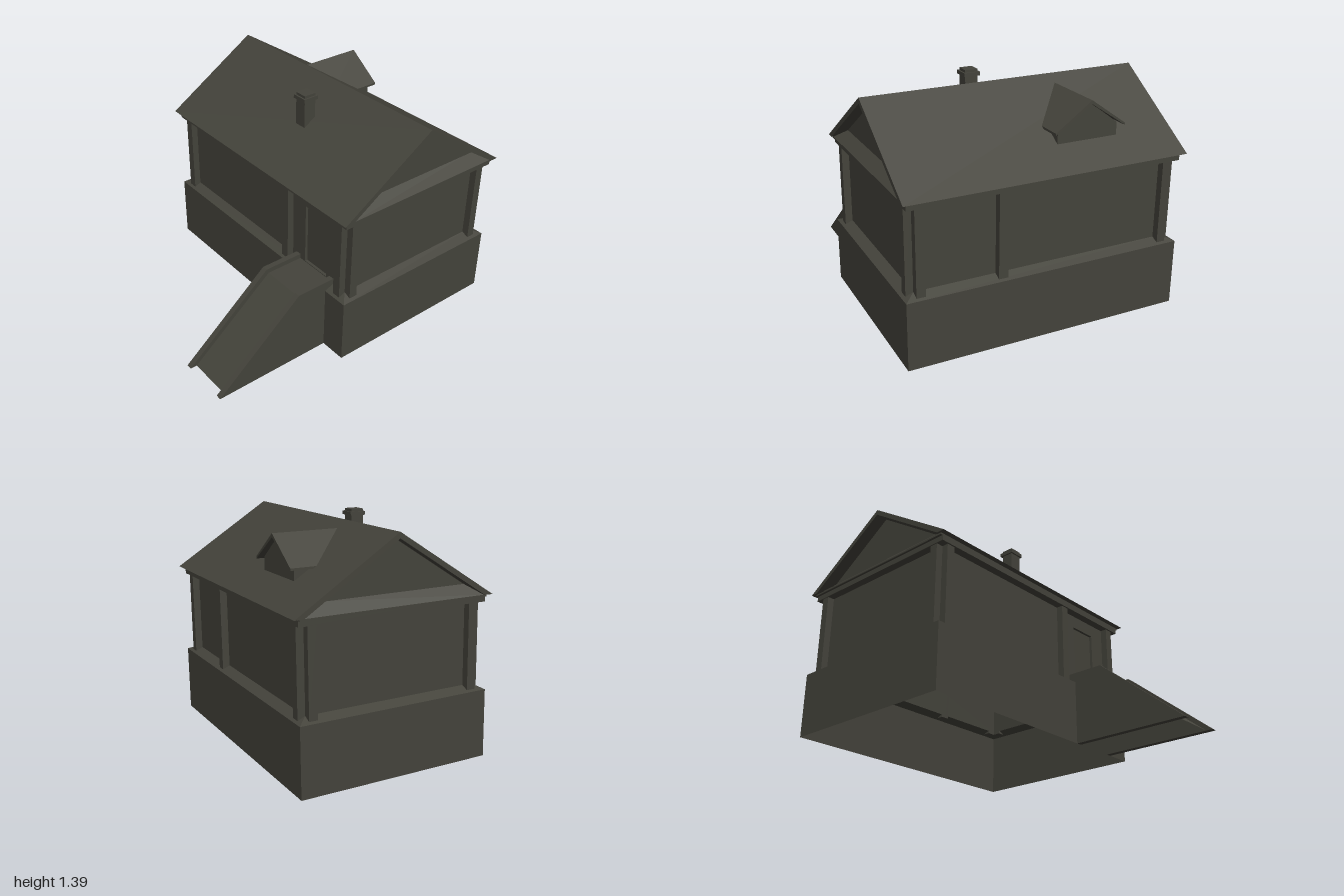
import * as THREE from 'three';

export function createModel() {
  const group = new THREE.Group();
  group.name = 'cabin';
  const mat = new THREE.MeshStandardMaterial({ color: 0x44433b, side: THREE.DoubleSide });
  mat.name = 'darkOlive';

  const add = (name, geometry) => {
    const mesh = new THREE.Mesh(geometry, mat);
    mesh.name = name;
    group.add(mesh);
    return mesh;
  };
  // Box given by its two corners
  const box = (name, x0, x1, y0, y1, z0, z1) =>
    add(name, new THREE.BoxGeometry(x1 - x0, y1 - y0, z1 - z0)
      .translate((x0 + x1) / 2, (y0 + y1) / 2, (z0 + z1) / 2));
  // Flat four-cornered faces merged in one mesh
  const quads = (name, list) => {
    const pos = list.flatMap(([a, b, c, d]) => [a, b, c, a, c, d].flat());
    const g = new THREE.BufferGeometry();
    g.setAttribute('position', new THREE.Float32BufferAttribute(pos, 3));
    g.computeVertexNormals();
    return add(name, g);
  };
  const shapeOf = (pts) => new THREE.Shape(pts.map(([a, b]) => new THREE.Vector2(a, b)));
  // Profile in (x, y) pushed along z
  const alongZ = (name, shape, z0, z1) =>
    add(name, new THREE.ExtrudeGeometry(shape, { depth: z1 - z0, bevelEnabled: false }).translate(0, 0, z0));
  // Profile in (z, y) pushed along x
  const alongX = (name, pts, x0, x1) =>
    add(name, new THREE.ExtrudeGeometry(shapeOf(pts), { depth: x1 - x0, bevelEnabled: false })
      .rotateY(-Math.PI / 2).translate(x1, 0, 0));

  const ZC = -0.3725;                       // ridge line of the house
  const BX = 0.87, BF = 0.225, BB = -0.97;  // foundation
  const WX = 0.805, WF = 0.163, WB = -0.908; // walls
  const RL = 0.352, RR = 0.702;             // ramp sides

  // Corners of a level rectangle, anticlockwise seen from above
  const ring = (x, f, b, y) => [[-x, y, f], [x, y, f], [x, y, b], [-x, y, b]];
  const band = (lo, hi, sides) => sides.map((i) => {
    const j = (i + 1) % 4;
    return [lo[i], lo[j], hi[j], hi[i]];
  });

  // Open foundation skirt with a gap behind the ramp
  const floorY = 0.412;
  const front = (x0, x1) => [[x0, 0, BF], [x1, 0, BF], [x1, floorY, BF], [x0, floorY, BF]];
  quads('foundation', [
    ...band(ring(BX, BF, BB, 0), ring(BX, BF, BB, floorY), [1, 2, 3]),
    front(-BX, RL), front(RR, BX),
  ]);
  quads('foundationLedge', band(ring(BX, BF, BB, floorY), ring(WX, WF, WB, 0.44), [0, 1, 2, 3]));

  // Side and back walls, then the front wall with a doorway
  quads('walls', band(ring(WX, WF, WB, 0.435), ring(WX, WF, WB, 0.96), [1, 2, 3]));
  const frontWall = shapeOf([[-WX, 0.435], [WX, 0.435], [WX, 0.96], [-WX, 0.96]]);
  frontWall.holes.push(shapeOf([[0.433, 0.45], [0.433, 0.852], [0.633, 0.852], [0.633, 0.45]]));
  alongZ('frontWall', frontWall, WF - 0.02, WF);
  box('door', 0.433, 0.633, 0.45, 0.852, WF - 0.028, WF - 0.018);

  // Posts
  for (const [x0, x1] of [[-WX, -0.75], [0.258, 0.315], [0.75, WX]]) {
    box('frontPost', x0, x1, 0.418, 0.95, WF, 0.207);
    box('backPost', x0, x1, 0.418, 0.95, -0.952, WB);
  }
  for (const s of [-1, 1]) {
    const [a, b] = s > 0 ? [WX, 0.85] : [-0.85, -WX];
    box('sidePostFront', a, b, 0.418, 0.95, 0.11, WF);
    box('sidePostBack', a, b, 0.418, 0.95, -0.907, -0.854);
  }

  // Beam under the eaves
  box('eavesBeam', -0.855, 0.855, 0.935, 0.978, -0.962, 0.217);

  // Main roof, recessed gables and their sloping ledges
  alongX('roof', [[0.25, 0.98], [ZC, 1.38], [-0.995, 0.98], [-0.94, 0.98],
    [ZC, 1.345], [0.195, 0.98]], -0.882, 0.882);
  for (const s of [-1, 1]) {
    const x = s * 0.8;
    alongX('gable', [[0.2, 0.975], [ZC, 1.35], [-0.945, 0.975]], x - 0.005, x + 0.005);
    quads('gableLedge', [[[s * 0.87, 0.978, 0.215], [s * 0.87, 0.978, -0.96],
      [x, 1.045, -0.85], [x, 1.045, 0.105]]]);
    box('ledgeEdge', Math.min(s * 0.8, s * 0.87), Math.max(s * 0.8, s * 0.87), 0.968, 0.979, -0.96, 0.215);
  }

  // Chimney
  box('chimney', 0.053, 0.135, 1.12, 1.392, -0.142, -0.06);
  box('chimneyCap', 0.042, 0.146, 1.353, 1.376, -0.153, -0.049);

  // Dormer on the back slope
  const dx = -0.31;
  alongZ('dormerWall', shapeOf([[dx - 0.195, 1.07], [dx + 0.195, 1.07], [dx + 0.195, 1.175],
    [dx, 1.32], [dx - 0.195, 1.175]]), -0.812, -0.6);
  alongZ('dormerRoof', shapeOf([[dx - 0.228, 1.175], [dx - 0.228, 1.162], [dx, 1.315],
    [dx + 0.228, 1.162], [dx + 0.228, 1.175], [dx, 1.337]]), -0.848, -0.44);

  // Ramp: two side walls carrying a thin deck
  const side = [[1, 0], [0.425, 0.475], [WF, 0.475], [WF, 0.415], [BF, 0.4], [BF, 0]];
  alongX('rampSide', side, RL, RL + 0.036);
  alongX('rampSide', side, RR - 0.036, RR);
  const a = RL + 0.03, b = RR - 0.03;
  quads('rampDeck', [
    [[a, 0, 0.957], [b, 0, 0.957], [b, 0.445, 0.41], [a, 0.445, 0.41]],
    [[a, 0.445, 0.41], [b, 0.445, 0.41], [b, 0.445, WF], [a, 0.445, WF]],
  ]);

  return group;
}
